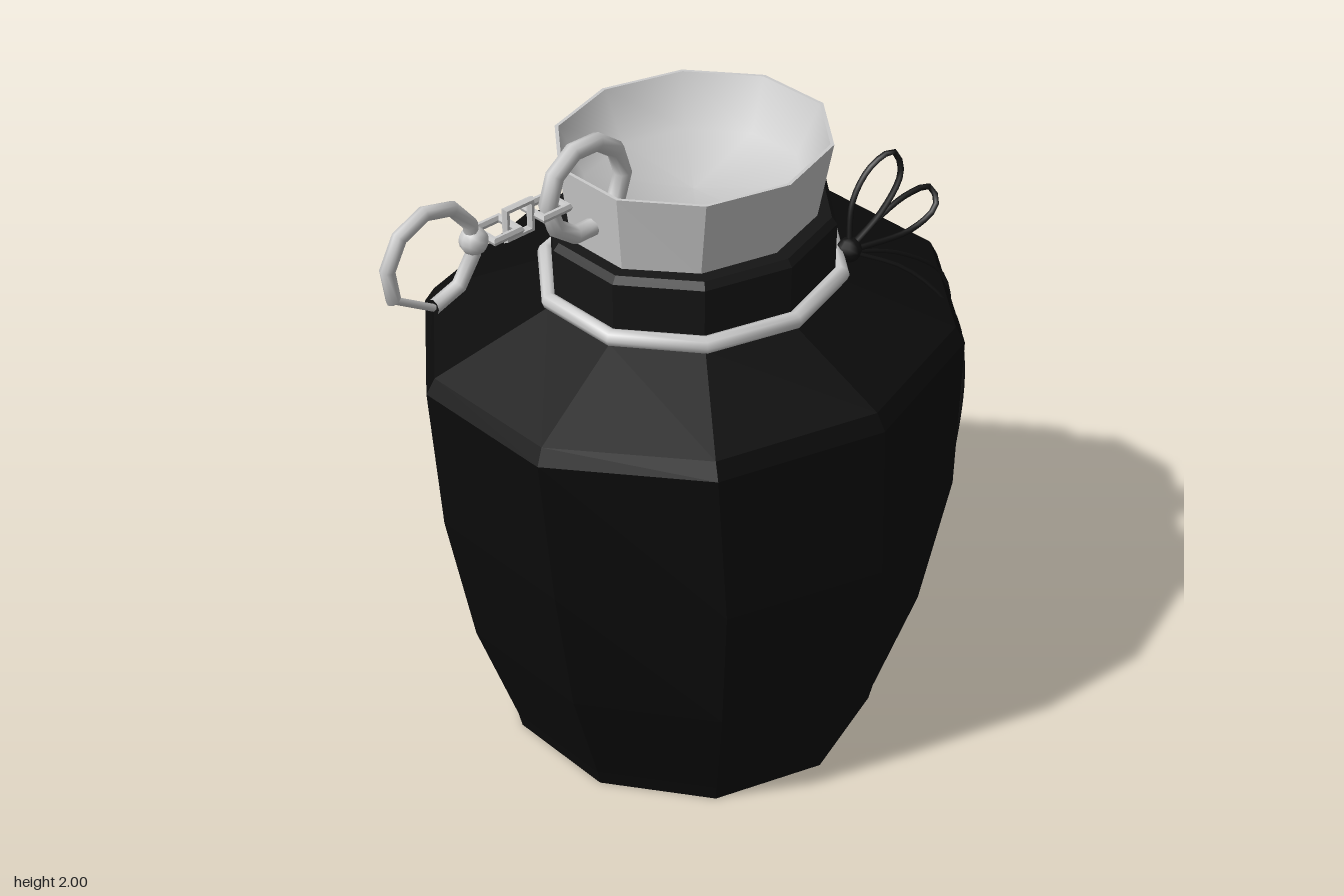
import * as THREE from 'three';

const SIDES = 10;
const CENTRE_Z = -0.14;

const grey = new THREE.MeshStandardMaterial({ color: 0xcccccc, flatShading: true });
const smoothGrey = new THREE.MeshStandardMaterial({ color: 0xcccccc });
const black = new THREE.MeshStandardMaterial({ color: 0x0b0b0b, flatShading: true });
const collarBlack = new THREE.MeshStandardMaterial({ color: 0x151515, flatShading: true });
const cordBlack = new THREE.MeshStandardMaterial({ color: 0x111111 });

function add(parent, name, geometry, material) {
  const mesh = new THREE.Mesh(geometry, material);
  mesh.name = name;
  parent.add(mesh);
  return mesh;
}

// Ten-sided oval shell from rings of [radius x, radius z, height]
function ovalShell(rings) {
  const pos = [], index = [];
  for (const [rx, rz, y] of rings) {
    for (let j = 0; j < SIDES; j++) {
      const a = (j / SIDES) * Math.PI * 2;
      pos.push(rx * Math.cos(a), y, rz * Math.sin(a));
    }
  }
  for (let i = 0; i < rings.length - 1; i++) {
    for (let j = 0; j < SIDES; j++) {
      const k = (j + 1) % SIDES;
      const a = i * SIDES + j, b = i * SIDES + k, c = a + SIDES, d = b + SIDES;
      if (rings[i + 1][0] > 0) index.push(a, c, d);
      if (rings[i][0] > 0) index.push(a, d, b);
      else continue;
    }
  }
  const g = new THREE.BufferGeometry();
  g.setAttribute('position', new THREE.Float32BufferAttribute(pos, 3));
  g.setIndex(index);
  g.computeVertexNormals();
  return g.translate(0, 0, CENTRE_Z);
}

// Cord through a few points
function cord(points, radius) {
  const curve = new THREE.CatmullRomCurve3(points.map((p) => new THREE.Vector3(...p)));
  return new THREE.TubeGeometry(curve, 24, radius, 5);
}

function createVessel(group) {
  add(group, 'jarBody', ovalShell([
    [0, 0, 0], [0.55, 0.54, 0], [0.56, 0.552, 0.05], [0.67, 0.673, 0.4],
    [0.74, 0.752, 0.82], [0.72, 0.794, 1.27], [0.69, 0.77, 1.315], [0.39, 0.435, 1.44],
    [0.36, 0.4, 1.44],
  ]), black);

  add(group, 'neckCollar', ovalShell([
    [0.37, 0.415, 1.43], [0.37, 0.415, 1.61], [0.355, 0.4, 1.63], [0.29, 0.34, 1.63],
  ]), collarBlack);

  // Flared mouth with a dished inside
  add(group, 'mouthOuter', ovalShell([
    [0.312, 0.363, 1.62], [0.355, 0.394, 1.85], [0.345, 0.384, 1.85],
  ]), grey);
  add(group, 'mouthInner', ovalShell([
    [0.345, 0.384, 1.85], [0.275, 0.32, 1.71], [0, 0, 1.69],
  ]), smoothGrey);

  // Round metal band at the base of the neck
  const band = [];
  for (let i = 0; i <= 8; i++) {
    const a = -Math.PI / 2 + (i / 8) * Math.PI * 2;
    const r = 0.024 * Math.cos(a);
    band.push([0.388 + r, 0.427 + r, 1.458 + 0.024 * Math.sin(a)]);
  }
  add(group, 'neckBand', ovalShell(band), smoothGrey);
}

function createBow() {
  const bow = new THREE.Group();
  bow.name = 'cordBow';
  const knot = add(bow, 'knot', new THREE.SphereGeometry(0.036, 8, 6), cordBlack);
  knot.position.set(0.25, 1.465, -0.49);
  add(bow, 'upperLoop', cord([
    [0.25, 1.47, -0.49], [0.23, 1.6, -0.52], [0.24, 1.69, -0.58], [0.26, 1.715, -0.64],
    [0.28, 1.66, -0.65], [0.28, 1.57, -0.59], [0.25, 1.465, -0.49],
  ], 0.009), cordBlack);
  add(bow, 'lowerLoop', cord([
    [0.25, 1.47, -0.49], [0.26, 1.53, -0.6], [0.27, 1.565, -0.7], [0.29, 1.57, -0.765],
    [0.32, 1.53, -0.76], [0.31, 1.48, -0.68], [0.25, 1.46, -0.49],
  ], 0.009), cordBlack);
  add(bow, 'shortTail', cord([
    [0.25, 1.46, -0.49], [0.3, 1.42, -0.63], [0.35, 1.32, -0.765], [0.365, 1.18, -0.8],
    [0.36, 1.0, -0.795], [0.343, 0.76, -0.785],
  ], 0.006), cordBlack);
  add(bow, 'longTail', cord([
    [0.25, 1.46, -0.49], [0.36, 1.4, -0.61], [0.46, 1.28, -0.69], [0.49, 1.1, -0.72],
    [0.485, 0.8, -0.71], [0.453, 0.52, -0.675],
  ], 0.006), cordBlack);
  return bow;
}

function createChain() {
  const chain = new THREE.Group();
  chain.name = 'chain';
  const y = 1.84;

  // Ring through the mouth wall
  const ring = add(chain, 'mouthRing', new THREE.TorusGeometry(0.127, 0.025, 8, 10), smoothGrey);
  ring.rotation.y = -Math.PI / 2;
  ring.position.set(0, y, 0.24);

  // Square links, alternately flat and upright
  [0.375, 0.465, 0.535].forEach((z, i) => {
    const g = new THREE.TorusGeometry(0.057, 0.012, 6, 4).rotateZ(Math.PI / 4);
    if (i === 1) g.rotateY(Math.PI / 2);
    else g.rotateX(Math.PI / 2);
    add(chain, 'link' + (i + 1), g, grey).position.set(0, y, z);
  });

  // End clasp: thick hook, thin gate and pivot ball
  const clasp = new THREE.Group();
  clasp.name = 'clasp';
  clasp.rotation.y = -Math.PI / 2;
  clasp.position.set(0, y, 0.745);
  const hook = add(clasp, 'claspHook', new THREE.TorusGeometry(0.136, 0.02, 8, 8, Math.PI * 1.65), smoothGrey);
  hook.rotation.z = -Math.PI * 0.15;
  hook.name = 'claspHook';
  const gateEnds = [-0.15, -0.5].map((t) => new THREE.Vector3(
    0.138 * Math.cos(t * Math.PI), 0.138 * Math.sin(t * Math.PI), 0));
  add(clasp, 'claspGate', new THREE.TubeGeometry(new THREE.LineCurve3(...gateEnds), 1, 0.01, 6), smoothGrey);
  add(clasp, 'claspBall', new THREE.SphereGeometry(0.038, 10, 8), smoothGrey).position.x = -0.135;
  chain.add(clasp);
  return chain;
}

export function createModel() {
  const model = new THREE.Group();
  model.name = 'jar';
  createVessel(model);
  model.add(createBow(), createChain());
  return model;
}
